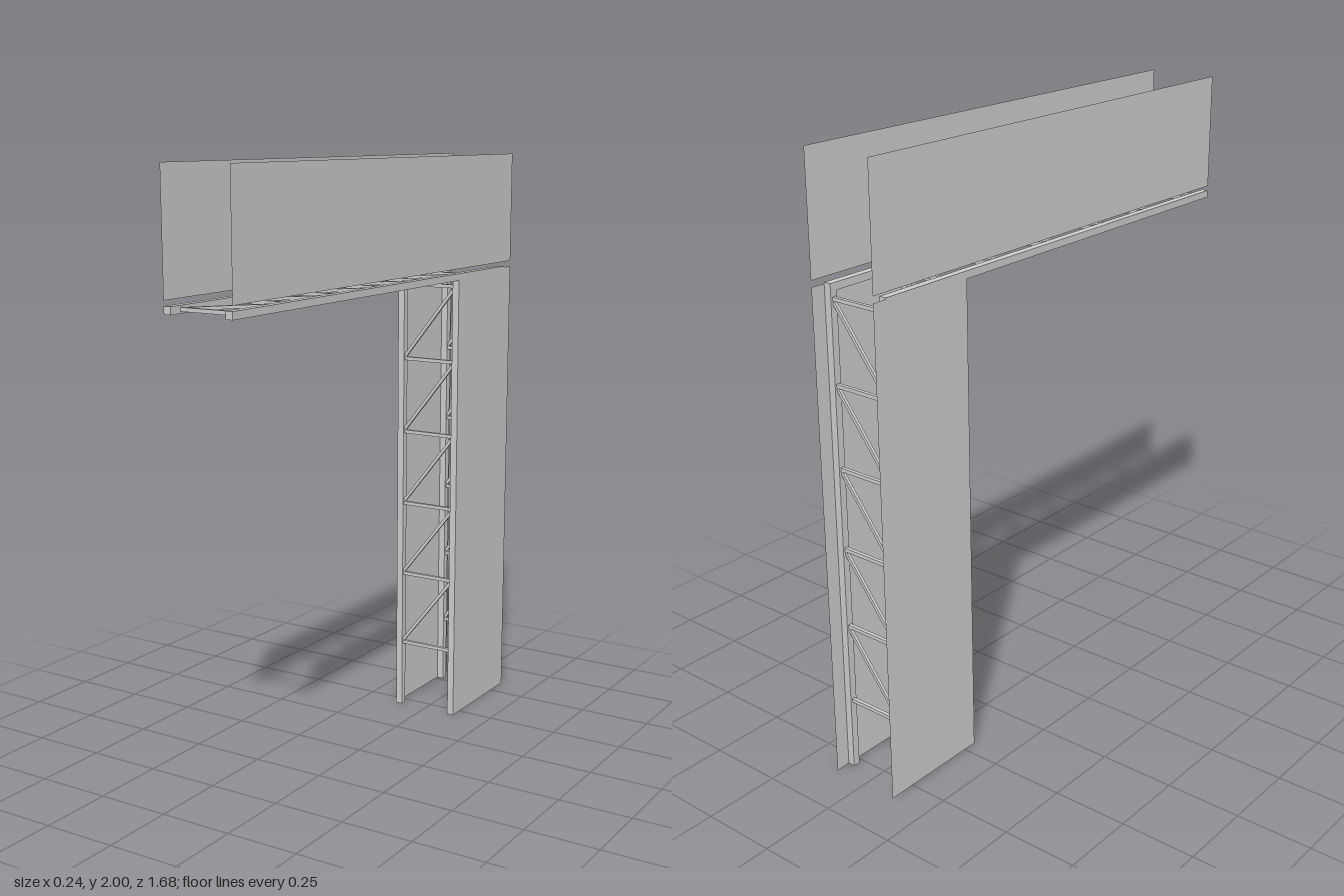
import * as THREE from 'three';

const steel = new THREE.MeshStandardMaterial({ color: 0xcccccc, flatShading: true });
const sheet = new THREE.MeshStandardMaterial({ color: 0xcccccc, side: THREE.DoubleSide });

const HALF = 0.12;      // half width over the outer faces
const CHORD = 0.024;    // chord section
const BAR = 0.012;      // rung and brace section
const PITCH = 0.2635;   // rung spacing

function box(name, w, h, d, x, y, z) {
  const mesh = new THREE.Mesh(new THREE.BoxGeometry(w, h, d), steel);
  mesh.name = name;
  mesh.position.set(x, y, z);
  return mesh;
}

// Ladder frame standing on y = 0 in the xy plane, with six rungs and five braces
function ladder(name, length, firstRung) {
  const frame = new THREE.Group();
  frame.name = name;
  for (const side of [-1, 1]) {
    frame.add(box('chord', CHORD, length, CHORD, side * (HALF - CHORD / 2), length / 2, 0));
  }
  const inner = HALF - CHORD;
  for (let i = 0; i < 6; i++) {
    const y = firstRung + i * PITCH;
    frame.add(box('rung', inner * 2, BAR, BAR, 0, y, 0));
    if (i === 5) continue;
    // brace rises from the right chord to the left chord
    const rise = PITCH - 0.018;
    const brace = box('brace', Math.hypot(inner * 2, rise), BAR * 0.9, BAR * 0.8, 0, y + PITCH / 2, 0);
    brace.rotation.z = Math.atan2(rise, inner * 2);
    frame.add(brace);
  }
  return frame;
}

// Thin side sheet in the yz plane
function panel(name, x, y0, y1, z0, z1) {
  const mesh = new THREE.Mesh(new THREE.PlaneGeometry(z1 - z0, y1 - y0), sheet);
  mesh.name = name;
  mesh.rotation.y = Math.sign(x) * Math.PI / 2;
  mesh.position.set(x, (y0 + y1) / 2, (z0 + z1) / 2);
  return mesh;
}

export function createModel() {
  const model = new THREE.Group();
  model.name = 'signGantry';

  // Front and rear upright ladders
  const front = ladder('frontUpright', 1.6, 0.24);
  front.position.z = -0.464;
  const rear = ladder('rearUpright', 1.6, 0.24);
  rear.position.z = -0.778;

  // Horizontal ladder; its top end points to the back
  const beam = ladder('cantileverBeam', 1.63, 0.05);
  beam.rotation.x = -Math.PI / 2;
  beam.position.set(0, 1.592, 0.84);
  model.add(front, rear, beam);

  // Side sheets on the upright and above the beam
  for (const side of [-1, 1]) {
    model.add(panel('uprightPanel', side * HALF, 0, 1.6, -0.84, -0.454));
    model.add(panel('headerPanel', side * HALF, 1.62, 2, -0.84, 0.84));
  }
  return model;
}
